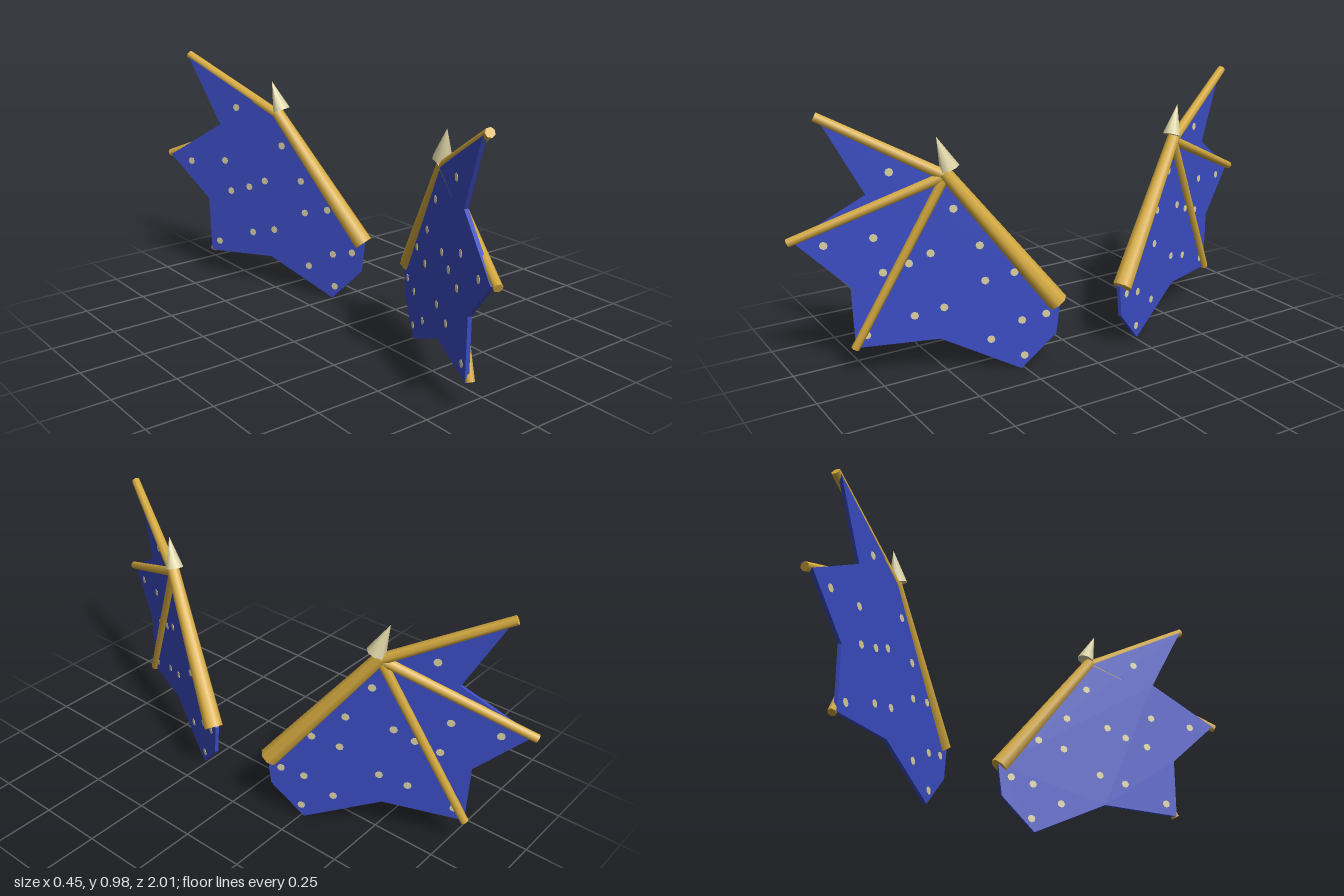
import * as THREE from 'three';

const blue = new THREE.MeshStandardMaterial({ color: 0x3b4dc4 });
blue.name = 'membraneBlue';
const gold = new THREE.MeshStandardMaterial({ color: 0xd6ab40 });
gold.name = 'boneGold';
const ivory = new THREE.MeshStandardMaterial({ color: 0xdcd3a4 });
ivory.name = 'ivory';

// Each wing is a flat vertical sheet swept back from the root
const COS = 0.905, SIN = 0.425, ROOT_X = 0.251;
const THICK = 0.014;

// Outline and spots as [distance from the middle, height]
const OUTLINE = [
  [0.5, 0.75], [0.87, 0.955], [0.74, 0.685], [0.975, 0.525], [0.805, 0.35], [0.8, 0.115],
  [0.525, 0.135], [0.26, 0], [0.143, 0.135], [0.13, 0.26],
];
const SPOTS = [
  [0.665, 0.765], [0.47, 0.626], [0.724, 0.53], [0.88, 0.508], [0.547, 0.465], [0.39, 0.487],
  [0.617, 0.43], [0.7, 0.4], [0.375, 0.353], [0.28, 0.38], [0.51, 0.257], [0.606, 0.23],
  [0.257, 0.193], [0.36, 0.123], [0.25, 0.053], [0.177, 0.214], [0.762, 0.163],
];

function add(parent, geometry, material, name) {
  const mesh = new THREE.Mesh(geometry, material);
  mesh.name = name;
  parent.add(mesh);
  return mesh;
}

// Tapered rod between two points on the wing, w is its offset from the sheet
function rod(parent, a, b, ra, rb, sides, w, material, name) {
  const p = new THREE.Vector3(a[0] / COS, a[1], w);
  const q = new THREE.Vector3(b[0] / COS, b[1], w);
  const dir = q.clone().sub(p);
  const mesh = add(parent, new THREE.CylinderGeometry(rb, ra, dir.length(), sides), material, name);
  mesh.position.copy(p).add(q).multiplyScalar(0.5);
  mesh.quaternion.setFromUnitVectors(new THREE.Vector3(0, 1, 0), dir.normalize());
}

function wing(side, name) {
  const g = new THREE.Group();
  g.name = name;

  // Membrane
  const shape = new THREE.Shape(OUTLINE.map(([z, y]) => new THREE.Vector2(z / COS, y)));
  const sheet = new THREE.ExtrudeGeometry(shape, { depth: THICK, bevelEnabled: false });
  sheet.translate(0, 0, -THICK / 2);
  add(g, sheet, blue, 'membrane');

  // Spots showing on both faces
  const spot = new THREE.CylinderGeometry(0.015, 0.015, THICK + 0.003, 8).rotateX(Math.PI / 2);
  for (const [z, y] of SPOTS) add(g, spot, ivory, 'spot').position.set(z / COS, y, 0);

  // Arm and three fingers sit on the outer face
  const w = -side * 0.011;
  const wrist = [0.49, 0.748];
  rod(g, [0.138, 0.258], [0.495, 0.76], 0.038, 0.025, 8, w, gold, 'arm');
  rod(g, wrist, [0.88, 0.966], 0.021, 0.017, 7, w, gold, 'upperFinger');
  rod(g, wrist, [0.99, 0.525], 0.019, 0.016, 7, w, gold, 'middleFinger');
  rod(g, wrist, [0.802, 0.115], 0.018, 0.016, 7, w, gold, 'lowerFinger');

  // Wrist claw
  rod(g, [0.477, 0.772], [0.516, 0.886], 0.036, 0, 8, w, ivory, 'claw');

  g.rotation.y = Math.atan2(-side * COS, -SIN);
  g.position.x = ROOT_X;
  return g;
}

export function createModel() {
  const model = new THREE.Group();
  model.name = 'wings';
  model.add(wing(1, 'frontWing'), wing(-1, 'backWing'));
  return model;
}
